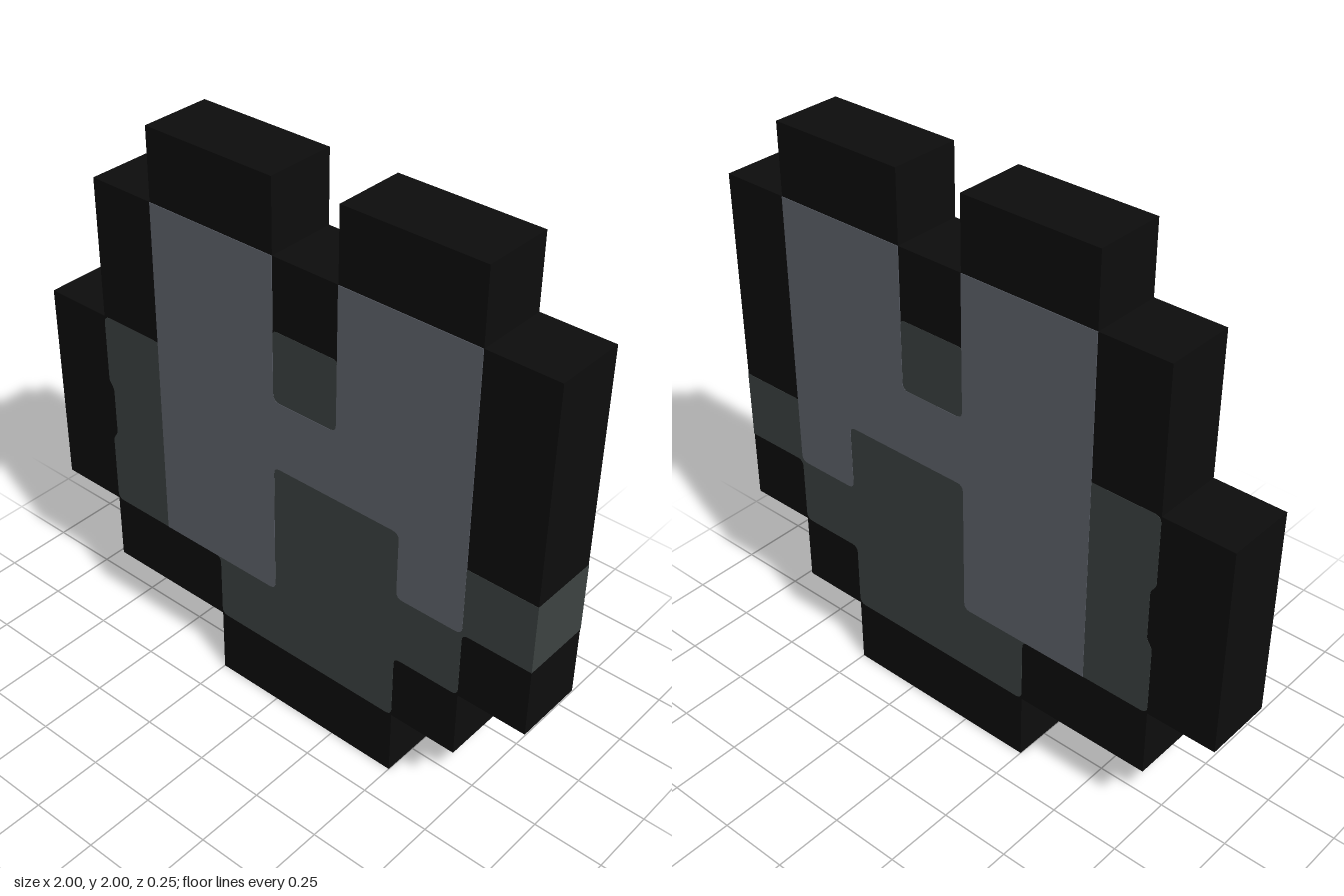
import * as THREE from 'three';

const DEPTH = 0.25;

// Outline from [x, y, cornerRadius] points; radius 0 or missing keeps the corner sharp
function outline(points) {
  const shape = new THREE.Shape();
  const n = points.length;
  points.forEach(([x, y, r = 0], i) => {
    const corner = new THREE.Vector2(x, y);
    const towards = (p) => new THREE.Vector2(p[0], p[1]).sub(corner).setLength(r).add(corner);
    const a = r ? towards(points[(i + n - 1) % n]) : corner;
    if (i === 0) shape.moveTo(a.x, a.y);
    else shape.lineTo(a.x, a.y);
    if (r) {
      const b = towards(points[(i + 1) % n]);
      shape.quadraticCurveTo(x, y, b.x, b.y);
    }
  });
  shape.closePath();
  return shape;
}

// Slab centred on z = 0; inlays stand slightly proud of both faces
function slab(name, points, material, proud = 0) {
  const depth = DEPTH + 2 * proud;
  const geometry = new THREE.ExtrudeGeometry(outline(points), { depth, bevelEnabled: false, curveSegments: 4 });
  geometry.translate(0, 0, -depth / 2);
  const mesh = new THREE.Mesh(geometry, material);
  mesh.name = name;
  return mesh;
}

function material(name, color) {
  const m = new THREE.MeshStandardMaterial({ color });
  m.name = name;
  return m;
}

export function createModel() {
  const black = material('black', 0x0d0d0d);
  const darkGrey = material('darkGrey', 0x3d4342);
  const lightGrey = material('lightGrey', 0x60646d);
  const R = 0.025;
  const group = new THREE.Group();
  group.name = 'pixelPiece';

  // Stepped black body
  group.add(slab('body', [
    [-0.25, 0], [0.5, 0], [0.5, 0.25], [0.75, 0.25], [0.75, 0.5], [1, 0.5],
    [1, 1.75], [0.75, 1.75], [0.75, 2], [0.25, 2], [0.25, 1.75], [0, 1.75],
    [0, 2], [-0.5, 2], [-0.5, 1.75], [-0.75, 1.75], [-0.75, 1.25], [-1, 1.25],
    [-1, 0.5], [-0.75, 0.5], [-0.75, 0.25], [-0.25, 0.25],
  ], black));

  // Dark inlay, reaching through the left side as a band
  group.add(slab('shadedInlay', [
    [-0.75, 0.5, R], [-0.25, 0.5, R], [-0.25, 0.25, R], [0.5, 0.25, R],
    [0.5, 0.5, R], [0.75, 0.5, R], [0.75, 0.75, R], [1.001, 0.75], [1.001, 1],
    [-0.5, 1], [-0.5, 1.25], [-0.75, 1.25, R],
    [-0.75, 1.0, 0.01], [-0.73, 0.97, 0.01], [-0.73, 0.79, 0.01], [-0.75, 0.76, 0.01],
  ], darkGrey, 0.001));

  // Dark square in the upper notch
  group.add(slab('notchInlay', [
    [0, 1.25], [0.25, 1.25], [0.25, 1.5, 0.015], [0, 1.5, 0.015],
  ], darkGrey, 0.001));

  // Light inlay
  group.add(slab('lightInlay', [
    [-0.5, 0.5], [0, 0.5, R], [0, 1, R], [0.5, 1, R], [0.5, 0.75, R],
    [0.75, 0.75, R], [0.75, 1.75], [0.25, 1.75], [0.25, 1.25, R],
    [0, 1.25, R], [0, 1.75], [-0.5, 1.75],
  ], lightGrey, 0.002));

  return group;
}
